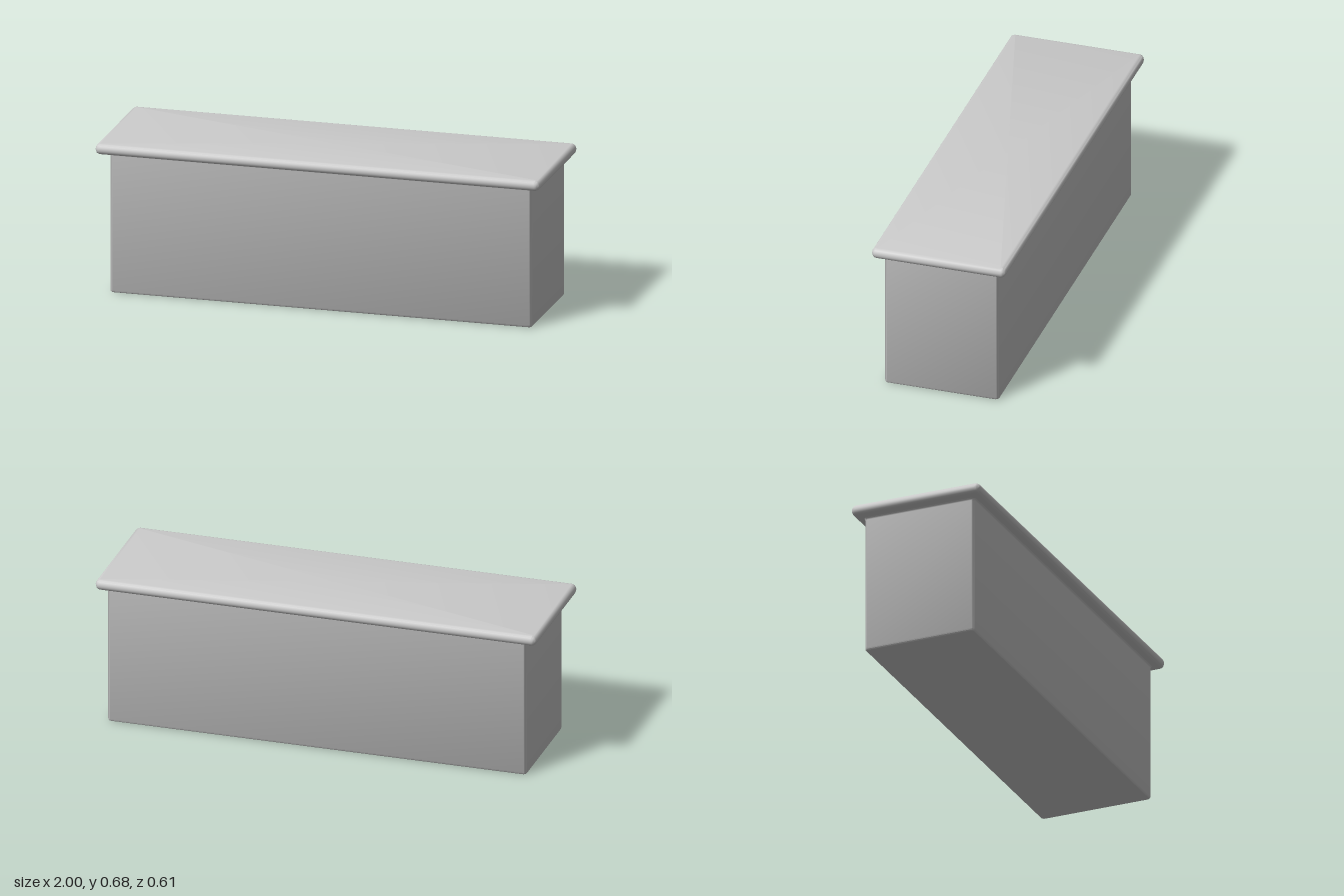
import * as THREE from 'three';
import { toCreasedNormals } from 'three/addons/utils/BufferGeometryUtils.js';

// Stacks rounded-rectangle rings along a profile of [outset, y] points, capped at both ends.
function loftRoundedRect(halfX, halfZ, radius, profile, steps = 5) {
  const pos = [], index = [];
  const n = 4 * (steps + 1);
  for (const [outset, y] of profile) {
    const r = Math.max(radius + outset, 0.004);
    for (let q = 0; q < 4; q++) {
      const sx = q === 0 || q === 3 ? 1 : -1;
      const sz = q < 2 ? 1 : -1;
      for (let s = 0; s <= steps; s++) {
        const a = (q + s / steps) * Math.PI / 2;
        pos.push(sx * (halfX + outset - r) + r * Math.cos(a), y,
                 sz * (halfZ + outset - r) + r * Math.sin(a));
      }
    }
  }
  const last = (profile.length - 1) * n;
  const bottom = pos.length / 3, top = bottom + 1;
  pos.push(0, profile[0][1], 0, 0, profile[profile.length - 1][1], 0);
  for (let j = 0; j < n; j++) {
    const k = (j + 1) % n;
    for (let i = 0; i < last; i += n) {
      index.push(i + j, i + n + j, i + k, i + k, i + n + j, i + n + k);
    }
    index.push(bottom, j, k, top, last + k, last + j);
  }
  const geo = new THREE.BufferGeometry();
  geo.setAttribute('position', new THREE.Float32BufferAttribute(pos, 3));
  geo.setIndex(index);
  return toCreasedNormals(geo, 0.8);
}

export function createModel() {
  const group = new THREE.Group();
  const material = new THREE.MeshStandardMaterial({ color: 0xcccccc });
  const add = (name, geometry) => {
    const mesh = new THREE.Mesh(geometry, material);
    mesh.name = name;
    group.add(mesh);
    return mesh;
  };

  // Deep box with a softened base edge and a small flare under the rim
  const body = add('body', loftRoundedRect(0.95, 0.2595, 0.018, [
    [-0.010, 0], [-0.005, 0.001], [-0.001, 0.005], [0, 0.01],
    [0, 0.62], [0.002, 0.626], [0.006, 0.63], [0.012, 0.632],
  ]));
  body.position.set(0.005, 0, -0.0025);

  // Flat lid with a rounded overhanging lip
  add('lid', loftRoundedRect(1, 0.304, 0.024, [
    [-0.034, 0.630], [-0.022, 0.631], [-0.012, 0.633], [-0.005, 0.638],
    [-0.001, 0.648], [0, 0.656], [-0.002, 0.664], [-0.006, 0.671],
    [-0.013, 0.676], [-0.021, 0.678],
  ]));

  return group;
}
